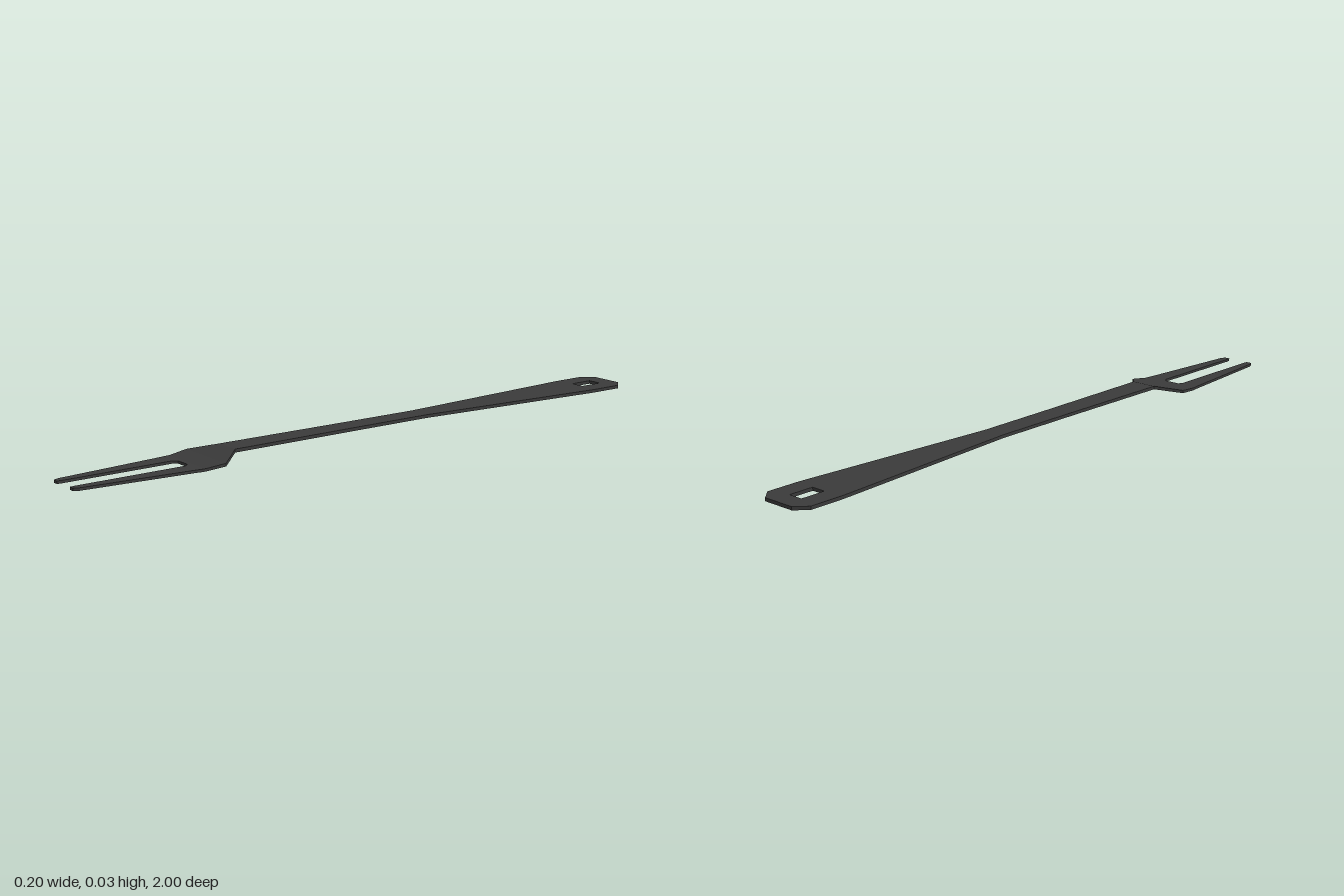
import * as THREE from 'three';

// Stations along z: [z, inner half width, outer half width, underside y, thickness]
const T = 0.010, H = 0.022;
const handle = [
  [-1, 0, 0, H, T], [-1, 0, 0.052, H, T], [-0.965, 0, 0.085, H, T],
  [-0.943, 0, 0.085, H, T], [-0.943, 0.023, 0.085, H, T], // hanging hole
  [-0.865, 0.023, 0.085, H, T], [-0.865, 0, 0.085, H, T],
  [-0.83, 0, 0.083, H, T], [-0.2, 0, 0.036, H, T],
];
const shaft = [[-0.2, 0, 0.036, H, T], [0.08, 0, 0.037, H, T], [0.49, 0, 0.041, H, T]];
const shoulder = [
  [0.49, 0, 0.041, H, T], [0.56, 0, 0.102, 0.006, 0.009],
  [0.62, 0, 0.094, 0, 0.008], [0.635, 0, 0.093, 0, 0.008],
];
const tines = [
  [0.635, 0, 0.093, 0, 0.008], [0.635, 0.025, 0.093, 0, 0.008],
  [0.648, 0.034, 0.091, 0, 0.008], [0.985, 0.034, 0.06, 0, 0.008],
  [1, 0.036, 0.053, 0, 0.008], [1, 0.036, 0.036, 0, 0.008],
];

// Mirrored flat plate skinned through the stations, with inner and outer walls
function plate(stations) {
  const pos = [];
  const tri = (a, b, c, s) => {
    const p = [a, b, c].map(v => new THREE.Vector3(v[0] * s, v[1], v[2]));
    if (new THREE.Triangle(...p).getArea() < 1e-8) return;
    if (s < 0) p.reverse();
    p.forEach(v => pos.push(v.x, v.y, v.z));
  };
  const quad = (a, b, c, d, s) => { tri(a, b, c, s); tri(a, c, d, s); };
  const corners = ([z, xi, xo, y, t]) => ({
    it: [xi, y + t, z], ib: [xi, y, z], ot: [xo, y + t, z], ob: [xo, y, z],
  });
  for (const s of [1, -1]) {
    for (let i = 0; i < stations.length - 1; i++) {
      const a = corners(stations[i]), b = corners(stations[i + 1]);
      quad(a.it, b.it, b.ot, a.ot, s);
      quad(a.ib, a.ob, b.ob, b.ib, s);
      quad(a.ot, b.ot, b.ob, a.ob, s);
      if (stations[i][1] + stations[i + 1][1] > 0) quad(b.it, a.it, a.ib, b.ib, s);
    }
  }
  const g = new THREE.BufferGeometry();
  g.setAttribute('position', new THREE.Float32BufferAttribute(pos, 3));
  g.computeVertexNormals();
  return g;
}

export function createModel() {
  const group = new THREE.Group();
  group.name = 'servingFork';
  const material = new THREE.MeshStandardMaterial({ color: 0x3a3a3a });
  material.name = 'charcoal';
  for (const [name, stations] of Object.entries({ handle, shaft, shoulder, tines })) {
    const mesh = new THREE.Mesh(plate(stations), material);
    mesh.name = name;
    group.add(mesh);
  }
  return group;
}
